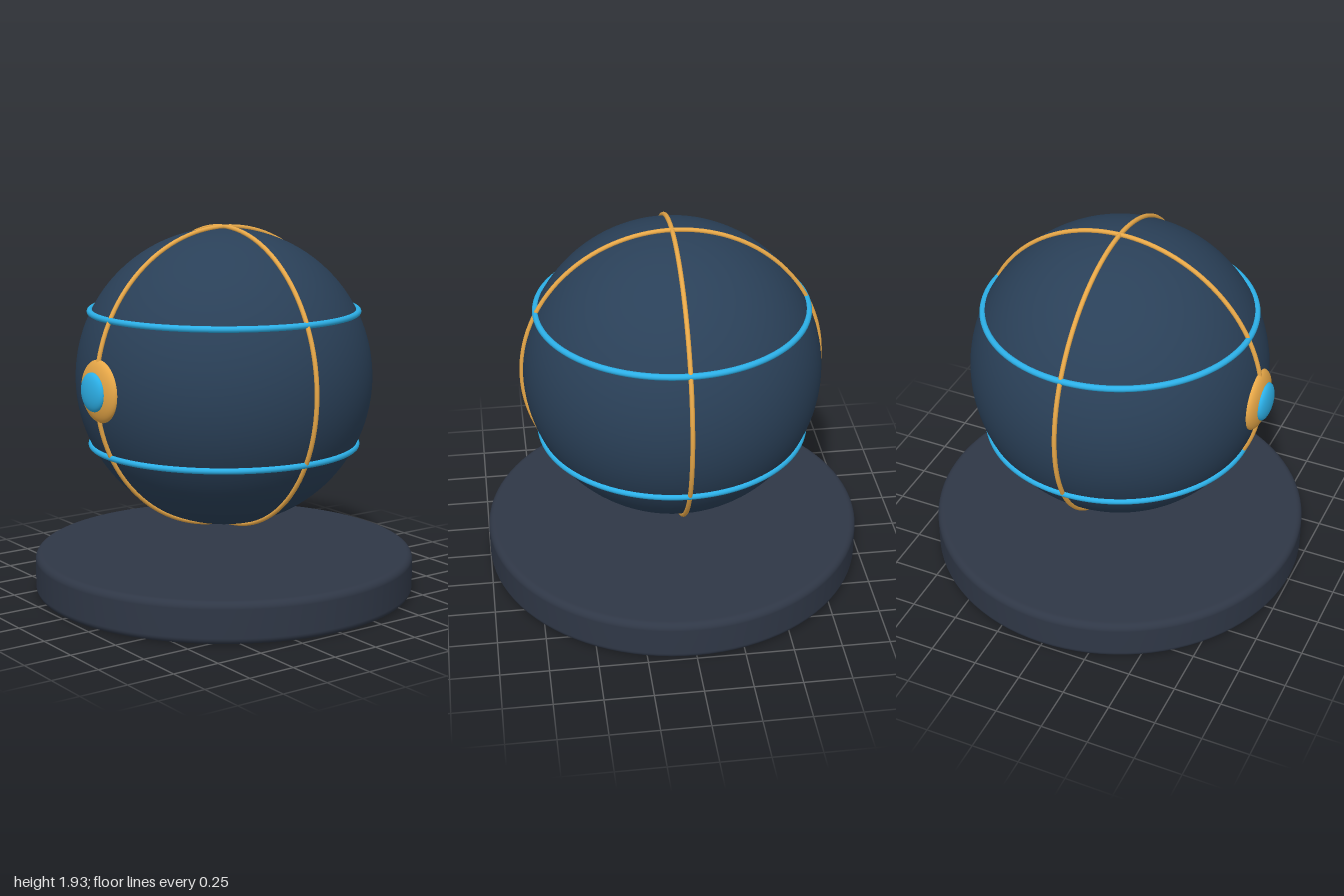
import * as THREE from 'three';

const paint = (color) => new THREE.MeshStandardMaterial({ color });
const navy = paint(0x2a4058);
const slate = paint(0x2f3746);
const gold = paint(0xe8a848);
const blue = paint(0x2cb0e8);

const CENTRE_Y = 1.14;
const BALL_R = 0.775;

function add(parent, name, geometry, material) {
  const mesh = new THREE.Mesh(geometry, material);
  mesh.name = name;
  parent.add(mesh);
  return mesh;
}

// Disc with rounded top and bottom rims
function roundedDisc(radius, height, bevel) {
  const points = [new THREE.Vector2(0, 0), new THREE.Vector2(radius - bevel - 0.01, 0)];
  for (const [cy, start] of [[bevel, -Math.PI / 2], [height - bevel, 0]]) {
    for (let i = 0; i <= 8; i++) {
      const a = start + (i / 8) * (Math.PI / 2);
      points.push(new THREE.Vector2(radius - bevel + bevel * Math.cos(a), cy + bevel * Math.sin(a)));
    }
  }
  points.push(new THREE.Vector2(radius - bevel - 0.01, height), new THREE.Vector2(0, height));
  return new THREE.LatheGeometry(points, 96);
}

export function createModel() {
  const model = new THREE.Group();
  model.name = 'orbOnBase';

  add(model, 'base', roundedDisc(1, 0.215, 0.035), slate);

  // Floating ball with its bands
  const orb = new THREE.Group();
  orb.name = 'orb';
  orb.position.y = CENTRE_Y;
  model.add(orb);
  add(orb, 'ball', new THREE.SphereGeometry(BALL_R, 96, 64), navy);

  // Two upright gold hoops crossing at the poles
  for (const [name, turn] of [['sideHoop', 0], ['frontHoop', Math.PI / 2]]) {
    add(orb, name, new THREE.TorusGeometry(0.781, 0.012, 12, 128), gold).rotation.y = turn;
  }

  // Level blue bands above and below the middle
  for (const [name, y] of [['upperBand', 0.35], ['lowerBand', -0.35]]) {
    const band = add(orb, name, new THREE.TorusGeometry(0.697, 0.016, 12, 128), blue);
    band.rotation.x = Math.PI / 2;
    band.position.y = y;
  }

  // Front button: flattened gold dome with a blue lens
  const button = new THREE.Group();
  button.name = 'frontButton';
  button.position.z = 0.76;
  orb.add(button);
  const rim = add(button, 'buttonRim', new THREE.SphereGeometry(1, 48, 24, 0, Math.PI * 2, 0, Math.PI / 2).rotateX(Math.PI / 2), gold);
  rim.scale.set(0.16, 0.16, 0.052);
  const back = add(button, 'buttonBack', new THREE.CircleGeometry(0.16, 48), gold);
  back.rotation.y = Math.PI;
  const lens = add(button, 'buttonLens', new THREE.SphereGeometry(1, 48, 24).rotateX(Math.PI / 2), blue);
  lens.scale.set(0.1, 0.1, 0.036);
  lens.position.z = 0.042;

  return model;
}
